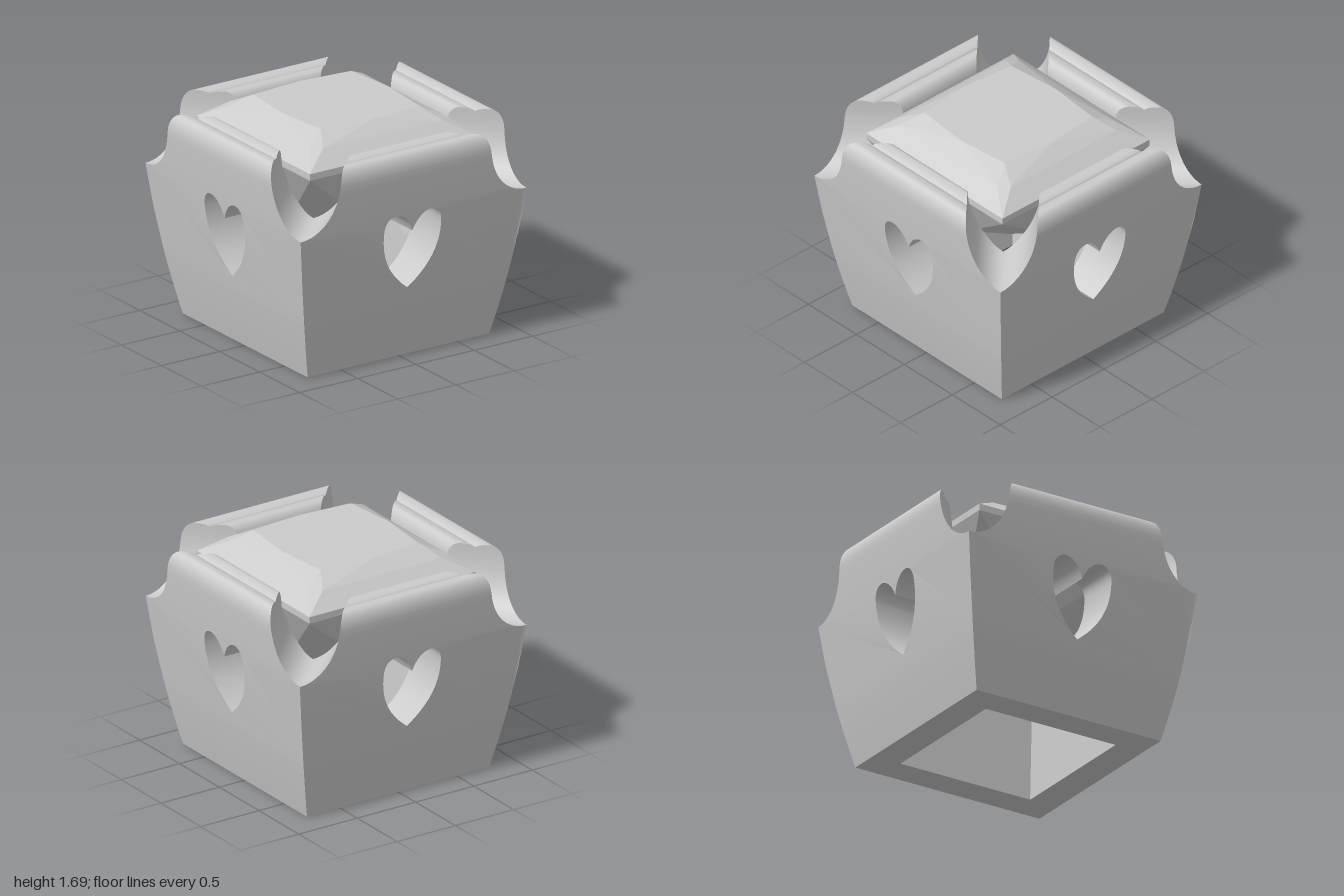
import * as THREE from 'three';
import { mergeGeometries, mergeVertices } from 'three/addons/utils/BufferGeometryUtils.js';
import { ConvexGeometry } from 'three/addons/geometries/ConvexGeometry.js';

const lerp = THREE.MathUtils.lerp;
const CUT = 1.12, LOW = 0.5, HIGH = 1.15; // notch floor, and the band holding the heart

// Wall section: bowed outer face, inner face with a seat under the stone
const outerZ = y => Math.min(1, 0.78 + 0.2305 * y - 0.0543 * y * y);
function innerZ(y) {
  if (y < 1.4) return y < 1.17 ? lerp(0.55, 0.62, y / 1.17) : lerp(0.62, 0.68, (y - 1.17) / 0.23);
  return Math.min(0.71, lerp(0.68, 0.71, (y - 1.4) / 0.05));
}
const wallZ = (y, t) => lerp(innerZ(y), outerZ(y), t); // t: 0 inside, 1 outside

// Two rounded lobes along the rim
function rimY(t) {
  const s = Math.abs(2 * t - 1), p = 0.53;
  return s < p
    ? 1.57 + 0.03 * Math.sqrt(1 - ((p - s) / p) ** 2)
    : 1.48 + 0.12 * Math.sqrt(Math.max(0, 1 - ((s - p) / (1 - p)) ** 2));
}

// Half width of the wall: mitred below, cut by an elliptical diagonal channel above
function halfX(y, t) {
  const k = Math.min(1, Math.max(0, (1.56 - y) / 0.44));
  return wallZ(y, t) - (y <= CUT ? 0 : 0.36 * Math.sqrt(1 - k * k));
}

// Surface from a function of u and v, facing du x dv
function grid(f, nu, nv) {
  const pos = [], idx = [];
  for (let j = 0; j <= nv; j++)
    for (let i = 0; i <= nu; i++) pos.push(...f(i / nu, j / nv));
  for (let j = 0; j < nv; j++)
    for (let i = 0; i < nu; i++) {
      const a = j * (nu + 1) + i, d = a + nu + 1;
      idx.push(a, a + 1, d + 1, a, d + 1, d);
    }
  const g = new THREE.BufferGeometry();
  g.setAttribute('position', new THREE.Float32BufferAttribute(pos, 3));
  g.setIndex(idx);
  return g;
}

function heartPoints() {
  const s = new THREE.Shape();
  s.moveTo(0, 0.55);
  s.bezierCurveTo(0.17, 0.68, 0.25, 0.83, 0.245, 1.02);
  s.bezierCurveTo(0.245, 1.19, 0.06, 1.18, 0, 1.0);
  s.bezierCurveTo(-0.06, 1.18, -0.245, 1.19, -0.245, 1.02);
  s.bezierCurveTo(-0.25, 0.83, -0.17, 0.68, 0, 0.55);
  return s.getPoints(16);
}

// Inner (t = 0) or outer (t = 1) face, with the heart opening in its middle band
function face(t) {
  const dir = t ? 1 : -1;
  const ribbon = (y0, y1, n) => grid((u, v) => {
    const y = lerp(y0, y1, v);
    return [dir * (2 * u - 1) * halfX(y, t), y, wallZ(y, t)];
  }, 1, n);

  const ys = [LOW, 0.8, CUT, 1.1225, 1.126, 1.132, 1.14, HIGH];
  const right = ys.map(y => new THREE.Vector2(halfX(y, t), y));
  const left = right.map(p => new THREE.Vector2(-p.x, p.y)).reverse();
  const shape = new THREE.Shape([...right, ...left]);
  shape.holes.push(new THREE.Path(heartPoints()));
  const band = new THREE.ShapeGeometry(shape);
  const p = band.attributes.position;
  for (let i = 0; i < p.count; i++) p.setZ(i, wallZ(p.getY(i), t));
  if (!t) band.setIndex([...band.index.array].reverse());
  band.deleteAttribute('uv');
  band.deleteAttribute('normal');
  return mergeVertices(mergeGeometries([ribbon(0, LOW, 5), band, ribbon(HIGH, rimY(t), 11)]), 1e-4);
}

// One wall: faces, foot, lobed rim, channel ends and heart tunnel
function wallGeometry() {
  const foot = grid((u, v) => [(2 * u - 1) * halfX(0, v), 0, wallZ(0, v)], 1, 1);
  const rimHalf = (a, b) => grid((u, v) => {
    const t = lerp(a, b, (1 - Math.cos(Math.PI * v)) / 2), y = rimY(t);
    return [(2 * u - 1) * halfX(y, t), y, wallZ(y, t)];
  }, 1, 20);
  const end = side => grid((u, v) => {
    const c = (1 - Math.cos(2 * Math.PI * u)) / 4; // finer towards both lobe edges
    const s = u < 0.5 ? c : 1 - c;
    const t = side > 0 ? 1 - s : s;
    const y = lerp(CUT, rimY(t), v * v);
    return [side * halfX(y, t), y, wallZ(y, t)];
  }, 40, 24);
  const heart = heartPoints();
  const n = (heart.length - 1) / 2;
  const tunnel = start => grid((u, v) => {
    const p = heart[start + Math.round(u * n)];
    return [p.x, p.y, wallZ(p.y, 1 - v)];
  }, n, 1);
  const parts = [face(1), face(0), foot, rimHalf(1, 0.5), rimHalf(0.5, 0),
    end(1), end(-1), tunnel(0), tunnel(n)];
  parts.forEach(g => g.computeVertexNormals());
  return mergeGeometries(parts);
}

// Square-cut stone: table, crown break, girdle, chevron pavilion
function stoneGeometry() {
  const pts = [new THREE.Vector3(0, 0.65, 0)];
  for (let q = 0; q < 4; q++) {
    const add = (x, y, z) => pts.push(new THREE.Vector3(x, y, z)
      .applyMatrix4(new THREE.Matrix4().makeRotationY(q * Math.PI / 2)));
    add(0, 0.875, 0.4);
    add(0.71, 1.45, 0.71);
    add(0.71, 1.5, 0.71);
    add(0.51, 1.61, 0.58);
    add(-0.51, 1.61, 0.58);
    add(0.42, 1.69, 0.42);
    add(0, 1.69, 0.46);
  }
  return new ConvexGeometry(pts);
}

export function createModel() {
  const model = new THREE.Group();
  model.name = 'stoneSetting';
  const material = new THREE.MeshStandardMaterial({ color: 0xcccccc });

  const wall = wallGeometry();
  ['frontWall', 'leftWall', 'backWall', 'rightWall'].forEach((name, i) => {
    const mesh = new THREE.Mesh(wall, material);
    mesh.name = name;
    mesh.rotation.y = i * Math.PI / 2;
    model.add(mesh);
  });

  const stone = new THREE.Mesh(stoneGeometry(), material);
  stone.name = 'squareCutStone';
  model.add(stone);
  return model;
}
